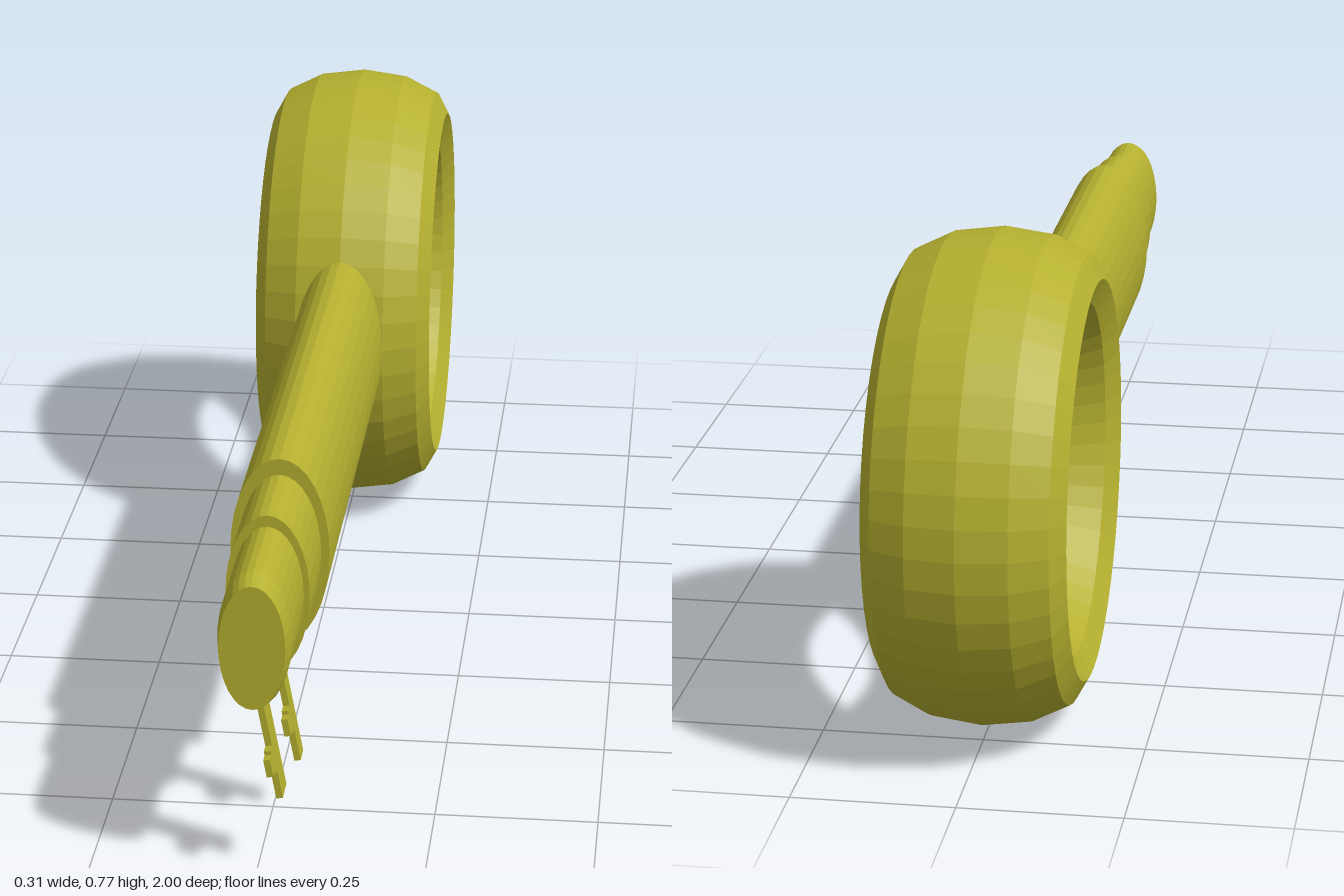
import * as THREE from 'three';

const AXIS_Y = 0.385;

export function createModel() {
  const model = new THREE.Group();
  model.name = 'key';
  const material = new THREE.MeshStandardMaterial({ color: 0xb5b030, flatShading: true });

  const add = (name, geometry) => {
    const mesh = new THREE.Mesh(geometry, material);
    mesh.name = name;
    model.add(mesh);
    return mesh;
  };

  // Ring handle: a 12-sided torus, widened along x
  const ring = new THREE.TorusGeometry(0.308, 0.075, 12, 48);
  ring.scale(1, 1, 2.04);
  ring.rotateY(Math.PI / 2);
  add('ringHandle', ring).position.set(0, AXIS_Y, -0.615);

  // Oval shaft sections along z, twice as tall as wide
  const section = (name, z0, z1, back, front = back) => {
    const g = new THREE.CylinderGeometry(front, back, z1 - z0, 32);
    g.rotateX(Math.PI / 2);
    g.scale(0.5, 1, 1);
    add(name, g).position.set(0, AXIS_Y, (z0 + z1) / 2);
  };
  section('shaft', -0.33, 0.645, 0.153);
  section('collar', 0.63, 0.805, 0.127);
  section('tip', 0.79, 0.967, 0.109);
  section('tipBevel', 0.967, 1.0, 0.109, 0.098);

  // Thin bits below the shaft: a stem with a stepped tab facing forward
  const bit = (name, z, stemWidth, bottom, tabY) => {
    const w = stemWidth;
    const outline = [
      [0, 0.06], [0, bottom], [w, bottom],
      [w, tabY - 0.02], [w + 0.019, tabY - 0.02], [w + 0.019, tabY - 0.014],
      [w + 0.036, tabY - 0.014], [w + 0.036, tabY + 0.014],
      [w + 0.019, tabY + 0.014], [w + 0.019, tabY + 0.02], [w, tabY + 0.02],
      [w, 0.06],
    ].map(([x, y]) => new THREE.Vector2(x, y));
    const g = new THREE.ExtrudeGeometry(new THREE.Shape(outline), { depth: 0.01, bevelEnabled: false });
    g.translate(0, 0, -0.005);
    g.rotateY(-Math.PI / 2);
    const mesh = add(name, g);
    mesh.position.set(0.005, 0.28, z);
    mesh.rotation.z = 0.185;
  };
  bit('frontBit', 0.909, 0.046, -0.16, -0.093);
  bit('rearBit', 0.733, 0.035, -0.191, -0.118);

  return model;
}
